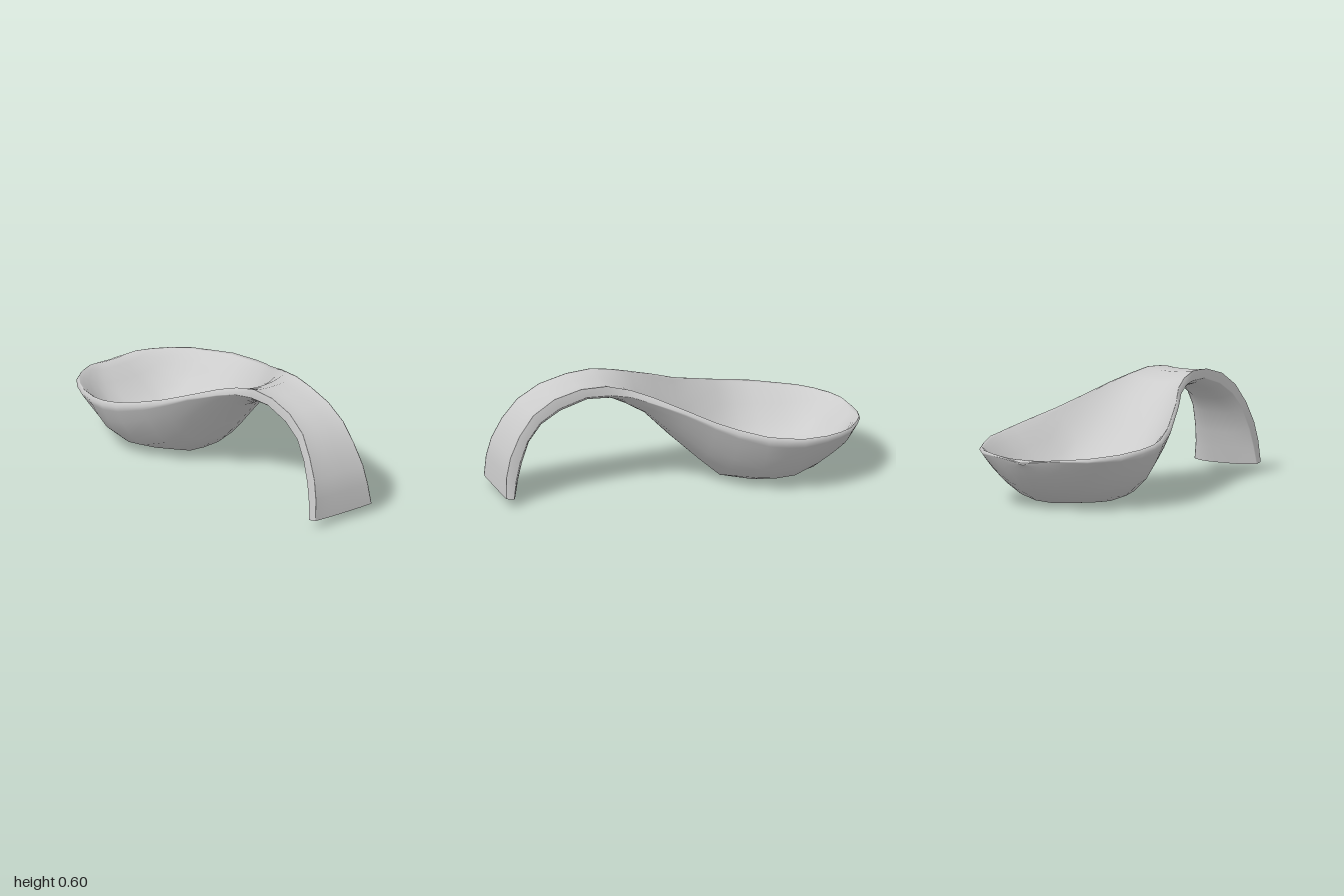
import * as THREE from 'three';

// Bowl stations: x, rim y, back z, front z, floor y, underside y, underside power
const BOWL = [
  [-1.0, 0.262, -0.04, 0.04, 0.26, 0.25, 2],
  [-0.97, 0.28, -0.17, 0.17, 0.272, 0.215, 2],
  [-0.93, 0.285, -0.25, 0.25, 0.248, 0.16, 2],
  [-0.87, 0.288, -0.34, 0.33, 0.19, 0.095, 2.1],
  [-0.79, 0.295, -0.405, 0.39, 0.12, 0.05, 2.2],
  [-0.7, 0.3, -0.45, 0.435, 0.078, 0.01, 2.5],
  [-0.56, 0.315, -0.498, 0.48, 0.06, 0.002, 3.8],
  [-0.46, 0.328, -0.496, 0.49, 0.06, 0, 4.1],
  [-0.36, 0.345, -0.488, 0.475, 0.068, 0.004, 3.8],
  [-0.21, 0.385, -0.437, 0.425, 0.115, 0.014, 2.7],
  [-0.1, 0.42, -0.383, 0.375, 0.195, 0.11, 2.5],
  [0.04, 0.477, -0.305, 0.315, 0.328, 0.242, 2.3],
  [0.19, 0.538, -0.225, 0.235, 0.468, 0.395, 2.3],
  [0.3, 0.574, -0.172, 0.2, 0.54, 0.46, 2.6],
];

// Handle stations: edge x y, back z, front z, top x y, underside x y
const HANDLE = [
  [0.42, 0.598, -0.13, 0.172, 0.42, 0.582, 0.385, 0.505],
  [0.56, 0.59, -0.112, 0.162, 0.56, 0.58, 0.51, 0.508],
  [0.71, 0.55, -0.113, 0.162, 0.705, 0.543, 0.66, 0.46],
  [0.83, 0.475, -0.12, 0.17, 0.825, 0.47, 0.765, 0.4],
  [0.91, 0.37, -0.13, 0.187, 0.905, 0.367, 0.835, 0.315],
  [0.965, 0.26, -0.145, 0.2, 0.96, 0.257, 0.875, 0.205],
  [0.99, 0.16, -0.157, 0.21, 0.985, 0.157, 0.9, 0.115],
  [0.998, 0.045, -0.175, 0.22, 0.995, 0.04, 0.922, 0.034],
];

const SEG = 14;
const { lerp, smoothstep } = THREE.MathUtils;

// Rise from centre to edge: scooped with a rounded lip, or a plain power curve
const scoop = (u) => 0.5 * smoothstep(u, 0.4, 1) + 0.5 * u ** 2.6;
const power = (p) => (u) => u ** p;

// Closed ring: upper face from back to front, then underside returning
function section({ e, t, b, zb, zf, upper, under, drop, lip }) {
  const ring = [];
  const mid = (zb + zf) / 2;
  const half = (zf - zb) / 2;
  const inner = half - Math.min(lip, half * 0.4);
  const low = [lerp(e[0], b[0], drop), lerp(e[1], b[1], drop)];
  for (let i = 0; i <= SEG; i++) {
    const u = Math.sin((i / SEG - 0.5) * Math.PI);
    const f = upper(Math.abs(u));
    ring.push([lerp(t[0], e[0], f), lerp(t[1], e[1], f), mid + inner * u]);
  }
  for (let i = SEG; i >= 0; i--) {
    const u = Math.sin((i / SEG - 0.5) * Math.PI);
    const f = under(Math.abs(u));
    ring.push([lerp(b[0], low[0], f), lerp(b[1], low[1], f), mid + half * u]);
  }
  return ring;
}

// Skin the rings, with separate vertices on the end caps for crisp ends
function loft(rings) {
  const n = rings[0].length;
  const pos = rings.flat(2);
  const index = [];
  for (let i = 0; i < rings.length - 1; i++) {
    for (let j = 0; j < n; j++) {
      const k = (j + 1) % n;
      const a = i * n + j, b = i * n + k, c = a + n, d = b + n;
      index.push(a, b, c, b, d, c);
    }
  }
  const cap = (ring, flip) => {
    const s = pos.length / 3;
    pos.push(...ring.flat());
    // Bridge upper and lower halves of the ring
    for (let j = 0; j < n / 2 - 1; j++) {
      const a = s + j, b = s + j + 1, c = s + n - 1 - j, d = s + n - 2 - j;
      if (flip) index.push(a, c, b, b, c, d);
      else index.push(a, b, c, b, d, c);
    }
  };
  cap(rings[0], true);
  cap(rings[rings.length - 1], false);
  const g = new THREE.BufferGeometry();
  g.setAttribute('position', new THREE.Float32BufferAttribute(pos, 3));
  g.setIndex(index);
  g.computeVertexNormals();
  return g;
}

export function createModel() {
  const group = new THREE.Group();
  group.name = 'spoonRest';
  const ceramic = new THREE.MeshStandardMaterial({ color: 0xcccccc });
  ceramic.name = 'light grey';

  const bowl = BOWL.map(([x, rim, zb, zf, floor, bottom, p]) => section({
    e: [x, rim], t: [x, floor], b: [x, bottom], zb, zf,
    upper: x < -0.15 ? scoop : power(2.3), under: power(p),
    drop: lerp(0.07, 0.3, smoothstep(x, 0, 0.32)), lip: 0.015,
  }));
  const handle = HANDLE.map(([ex, ey, zb, zf, tx, ty, bx, by]) => section({
    e: [ex, ey], t: [tx, ty], b: [bx, by], zb, zf,
    upper: power(3), under: power(3.5), drop: 0.55, lip: 0.006,
  }));

  // Scooped bowl flowing into the arched handle as one skin
  const body = new THREE.Mesh(loft([...bowl, ...handle]), ceramic);
  body.name = 'bowlAndHandle';
  group.add(body);
  return group;
}
